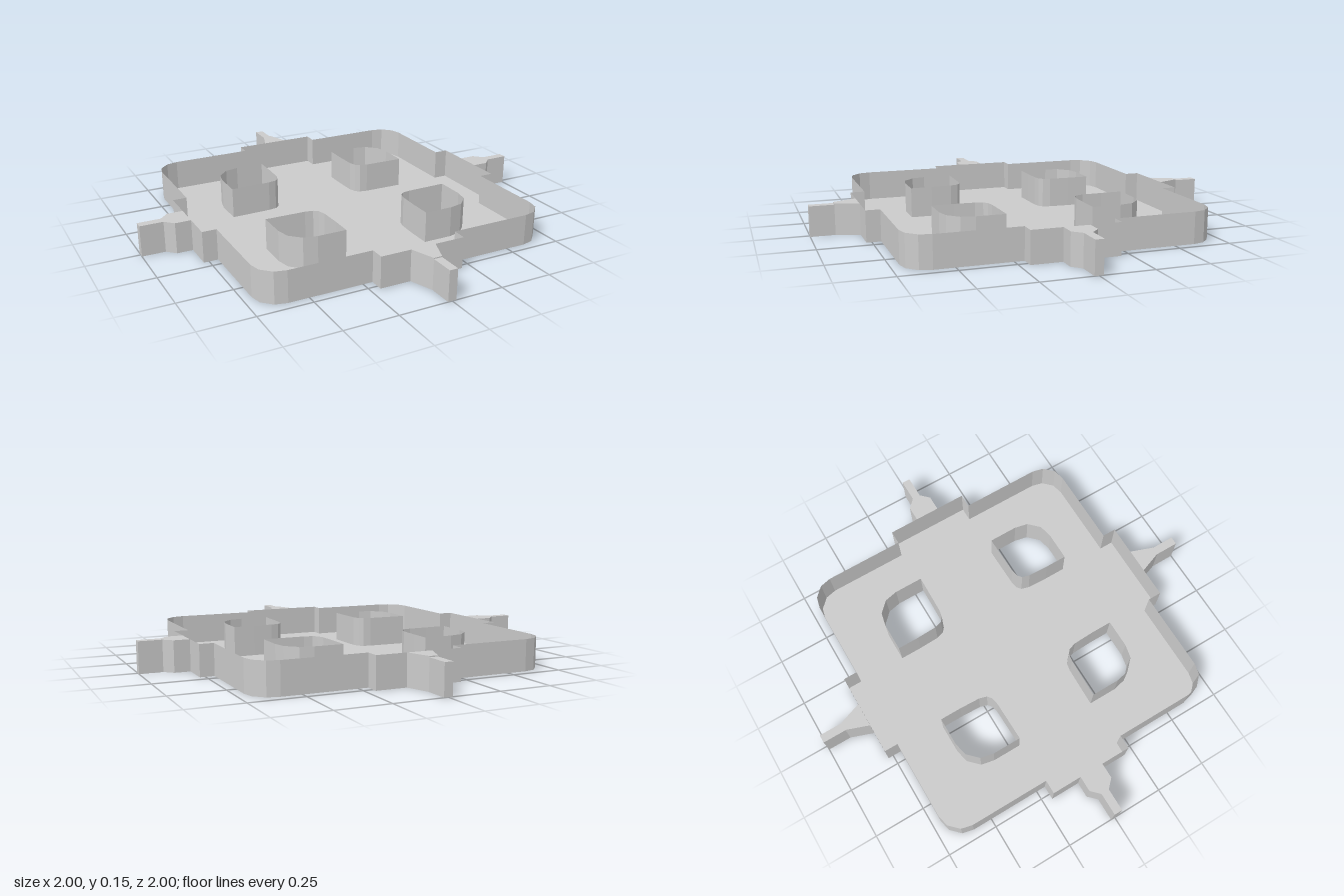
import * as THREE from 'three';

const H = 0.148;
const material = new THREE.MeshStandardMaterial({ color: 0xcccccc, flatShading: true, side: THREE.DoubleSide });

// Repeat a quarter outline in all four quadrants to make one closed loop
function mirrorQuarter(points) {
  const flipX = ([x, z]) => [-x, z];
  const flipZ = ([x, z]) => [x, -z];
  const left = points.map(flipX).reverse();
  return [...points, ...left, ...left.map(flipZ).reverse(), ...points.map(flipZ).reverse()];
}

const toVectors = (points) => points.map(([x, z]) => new THREE.Vector2(x, z));

// Thin upright wall that follows a closed loop
function wall(points, name) {
  const positions = [];
  points.forEach(([ax, az], i) => {
    const [bx, bz] = points[(i + 1) % points.length];
    positions.push(ax, 0, az, ax, H, az, bx, H, bz, ax, 0, az, bx, H, bz, bx, 0, bz);
  });
  const geometry = new THREE.BufferGeometry();
  geometry.setAttribute('position', new THREE.Float32BufferAttribute(positions, 3));
  geometry.computeVertexNormals();
  const mesh = new THREE.Mesh(geometry, material);
  mesh.name = name;
  return mesh;
}

// Solid block with a plan outline, symmetric about its length (distance, half width)
function prongPart(profile, height, name) {
  const outline = [...profile, ...profile.map(([d, w]) => [d, -w]).reverse()];
  const geometry = new THREE.ExtrudeGeometry(new THREE.Shape(toVectors(outline)), { depth: height, bevelEnabled: false });
  geometry.rotateX(Math.PI / 2).translate(0, height, 0);
  const mesh = new THREE.Mesh(geometry, material);
  mesh.name = name;
  return mesh;
}

export function createModel() {
  const model = new THREE.Group();
  model.name = 'trayPlate';

  // Rounded square outline with a shallow tab on each side
  const outline = mirrorQuarter([
    [0.775, 0.205], [0.708, 0.205], [0.708, 0.595], [0.695, 0.65],
    [0.65, 0.695], [0.595, 0.708], [0.205, 0.708], [0.205, 0.775],
  ]);

  // Leaf-shaped opening: two rounded and two sharp corners
  const opening = [
    [0.207, 0.475], [0.207, 0.37], [0.211, 0.27], [0.222, 0.233], [0.242, 0.216],
    [0.28, 0.209], [0.37, 0.207], [0.475, 0.205], [0.475, 0.345],
    [0.461, 0.41], [0.41, 0.461], [0.345, 0.475],
  ];
  const openings = [[1, 1], [-1, 1], [-1, -1], [1, -1]].map(([sx, sz]) =>
    opening.map(([x, z]) => [x * sx, z * sz]));

  // Floor
  const shape = new THREE.Shape(toVectors(outline));
  shape.holes = openings.map((loop) => new THREE.Path(toVectors(loop)));
  const floor = new THREE.Mesh(new THREE.ShapeGeometry(shape).rotateX(Math.PI / 2), material);
  floor.name = 'floor';
  model.add(floor);

  // Walls around the rim and the openings
  model.add(wall(outline, 'rimWall'));
  openings.forEach((loop, i) => model.add(wall(loop, `openingWall${i + 1}`)));

  // Prongs: front and back taper at once, the side ones are straight first
  for (let i = 0; i < 4; i++) {
    const side = i % 2 === 0;
    const prong = new THREE.Group();
    prong.name = side ? 'sideProng' : 'endProng';
    const root = side
      ? [[0.775, 0.06], [0.85, 0.06], [0.89, 0.02]]
      : [[0.775, 0.06], [0.885, 0.02]];
    const tipStart = root[root.length - 1][0];
    prong.add(
      prongPart(root, H, 'prongRoot'),
      prongPart([[tipStart, 0.02], [1, 0.02]], side ? H : H - 0.005, 'prongTip'),
    );
    prong.rotation.y = i * Math.PI / 2;
    model.add(prong);
  }
  return model;
}
